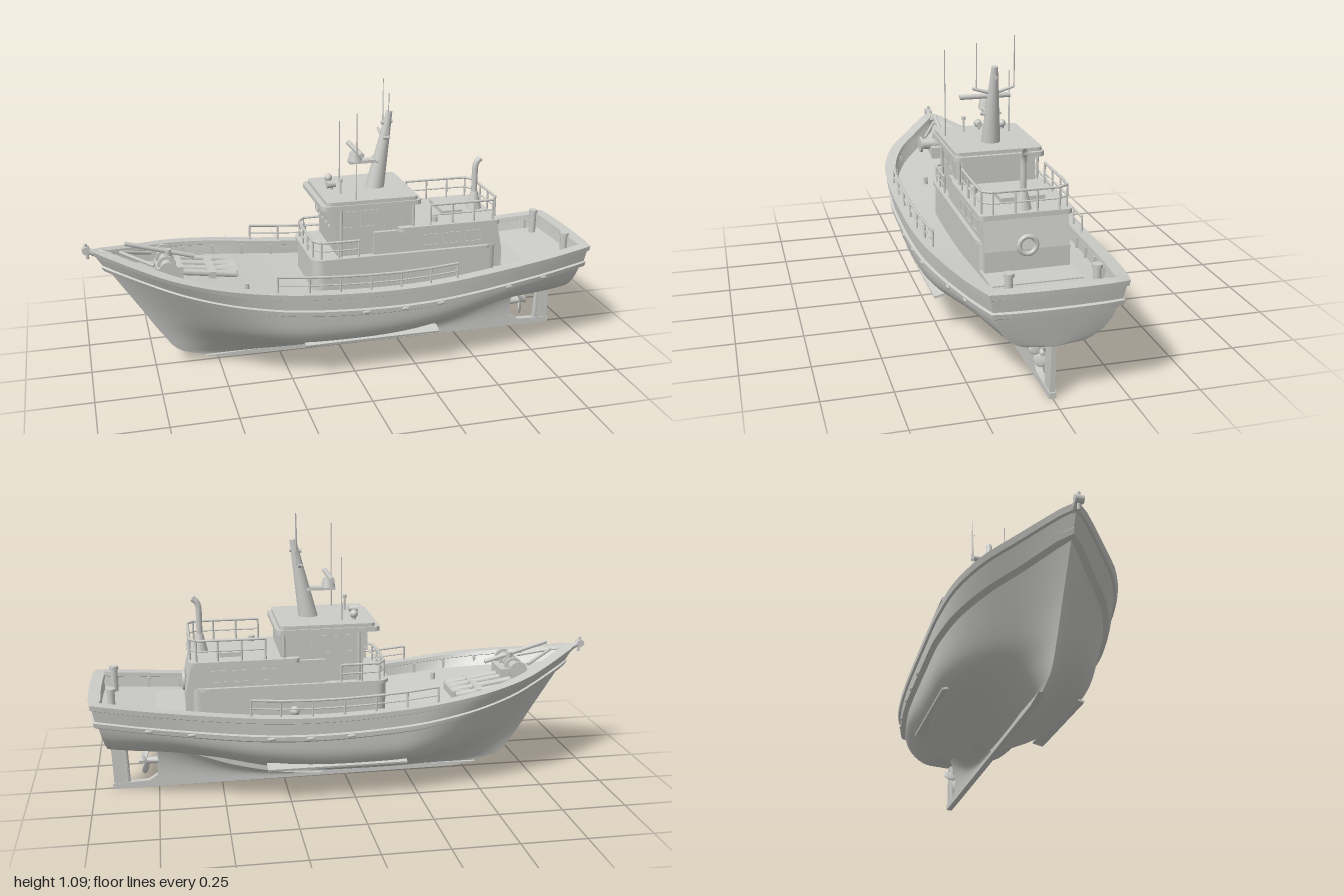
import * as THREE from 'three';
import { toCreasedNormals } from 'three/addons/utils/BufferGeometryUtils.js';

const grey = new THREE.MeshStandardMaterial({ color: 0xcbcbc8, side: THREE.DoubleSide });
grey.name = 'paintedGrey';
const V = (x, y, z) => new THREE.Vector3(x, y, z);

// Smooth interpolation through [x, y] pairs
function smooth(t) {
  const slope = (i) => {
    const a = t[Math.max(i - 1, 0)], b = t[Math.min(i + 1, t.length - 1)];
    return (b[1] - a[1]) / (b[0] - a[0]);
  };
  return (x) => {
    if (x <= t[0][0]) return t[0][1];
    if (x >= t[t.length - 1][0]) return t[t.length - 1][1];
    let i = 0;
    while (x > t[i + 1][0]) i++;
    const h = t[i + 1][0] - t[i][0], s = (x - t[i][0]) / h, s2 = s * s, s3 = s2 * s;
    return (2 * s3 - 3 * s2 + 1) * t[i][1] + (s3 - 2 * s2 + s) * h * slope(i)
      + (3 * s2 - 2 * s3) * t[i + 1][1] + (s3 - s2) * h * slope(i + 1);
  };
}

// Hull lines
const sheer = smooth([[-0.96, 0.505], [-0.74, 0.45], [-0.45, 0.4], [-0.2, 0.37], [0.1, 0.355], [0.35, 0.36], [0.7, 0.39], [0.975, 0.42]]);
const beam = smooth([[-0.96, 0], [-0.9, 0.05], [-0.8, 0.127], [-0.667, 0.22], [-0.51, 0.28], [-0.35, 0.302], [-0.2, 0.308], [0.2, 0.305], [0.5, 0.287], [0.8, 0.255], [0.975, 0.225]]);
const keelY = smooth([[-0.55, 0.02], [0, 0.02], [0.25, 0.03], [0.45, 0.07], [0.6, 0.12], [0.75, 0.165], [0.94, 0.195]]);
const stemX = smooth([[0.02, -0.54], [0.05, -0.645], [0.12, -0.71], [0.25, -0.795], [0.4, -0.893], [0.505, -0.96]]);
const sternX = smooth([[0.19, 0.93], [0.33, 0.96], [0.42, 0.975]]);
const midForm = smooth([[0, 0.02], [0.145, 0.33], [0.23, 0.55], [0.32, 0.76], [0.4, 0.88], [0.52, 0.95], [0.67, 0.975], [1, 1]]);
const sternForm = smooth([[0, 0], [0.03, 0.4], [0.12, 0.62], [0.3, 0.8], [0.55, 0.91], [1, 1]]);
const lerp = THREE.MathUtils.lerp, step = THREE.MathUtils.smoothstep;
const topX = (u) => lerp(-0.96, 0.975, u);
const toU = (x) => (x + 0.96) / 1.935;

function hullAt(u, v) {
  const top = sheer(topX(u)), y = lerp(keelY(lerp(-0.55, 0.94, u)), top, v);
  let f = lerp(Math.pow(v, 0.9), midForm(v), step(u, 0, 0.38));
  f = lerp(f, sternForm(v), step(u, 0.65, 1));
  const rake = lerp(stemX(y) - stemX(top), sternX(y) - sternX(top), u);
  return V(topX(u) + rake, y, beam(topX(u)) * f);
}
// Hull point a given drop below the sheer
function belowSheer(u, dy) {
  const range = sheer(topX(u)) - keelY(lerp(-0.55, 0.94, u));
  return hullAt(u, Math.min(1, 1 + dy / range)).setY(sheer(topX(u)) + dy);
}

function grid(nu, nv, fn, crease) {
  const pos = [], idx = [];
  for (let i = 0; i <= nu; i++) for (let j = 0; j <= nv; j++) pos.push(...fn(i / nu, j / nv).toArray());
  for (let i = 0; i < nu; i++) for (let j = 0; j < nv; j++) {
    const a = i * (nv + 1) + j, b = a + nv + 1;
    idx.push(a, a + 1, b, b, a + 1, b + 1);
  }
  const g = new THREE.BufferGeometry();
  g.setAttribute('position', new THREE.Float32BufferAttribute(pos, 3));
  g.setIndex(idx);
  g.computeVertexNormals();
  return crease ? toCreasedNormals(g, crease) : g;
}

export function createModel() {
  const root = new THREE.Group();
  root.name = 'fishingBoat';
  const add = (name, geo, x = 0, y = 0, z = 0) => {
    const m = new THREE.Mesh(geo, grey);
    m.name = name;
    m.position.set(x, y, z);
    root.add(m);
    return m;
  };
  const box = (name, x0, x1, y0, y1, z0, z1) =>
    add(name, new THREE.BoxGeometry(x1 - x0, y1 - y0, z1 - z0), (x0 + x1) / 2, (y0 + y1) / 2, (z0 + z1) / 2);
  const rod = (name, a, b, r = 0.004, r2 = r, n = 8) => {
    const d = b.clone().sub(a), c = a.clone().add(b).multiplyScalar(0.5);
    const m = add(name, new THREE.CylinderGeometry(r2, r, d.length(), n), c.x, c.y, c.z);
    m.quaternion.setFromUnitVectors(V(0, 1, 0), d.normalize());
  };
  const ball = (name, r, x, y, z) => add(name, new THREE.SphereGeometry(r, 14, 10), x, y, z);
  // Side outline extruded across the boat
  const profile = (name, pts, half) => add(name, new THREE.ExtrudeGeometry(
    new THREE.Shape(pts.map((p) => new THREE.Vector2(...p))), { depth: half * 2, bevelEnabled: false }), 0, 0, -half);
  // Rounded plan slab
  const slab = (name, x0, x1, y0, y1, h, r) => {
    const s = new THREE.Shape();
    [[x1 - r, h - r, 0], [x0 + r, h - r, 1], [x0 + r, r - h, 2], [x1 - r, r - h, 3]]
      .forEach(([x, y, q]) => s.absarc(x, y, r, q * Math.PI / 2, (q + 1) * Math.PI / 2));
    const g = new THREE.ExtrudeGeometry(s, { depth: y1 - y0, bevelEnabled: false, curveSegments: 5 });
    return add(name, g.rotateX(-Math.PI / 2), 0, y0, 0);
  };
  // Posts with a top and a middle rail
  const railing = (name, pts, h) => pts.forEach((p, i) => {
    const up = (q, k) => q.clone().setY(q.y + h * k);
    rod(name + 'Post', p, up(p, 1));
    if (i) [1, 0.5].forEach((k) => rod(name + 'Bar', up(pts[i - 1], k), up(p, k), k === 1 ? 0.005 : 0.003));
  });
  const windowFrame = (name, x, y, z, w, h, turn) => {
    const rect = (P, a, b) => new P([[-a, -b], [a, -b], [a, b], [-a, b]].map((p) => new THREE.Vector2(...p)));
    const s = rect(THREE.Shape, w / 2, h / 2);
    s.holes.push(rect(THREE.Path, w / 2 - 0.006, h / 2 - 0.006));
    add(name, new THREE.ExtrudeGeometry(s, { depth: 0.006, bevelEnabled: false }), x, y, z).rotation.y = turn;
  };

  // Hull shell, transom and deck
  add('hull', grid(60, 48, (u, s) => {
    const t = s * 2 - 1, p = hullAt(u, Math.pow(Math.abs(t), 1.4));
    return p.setZ(p.z * Math.sign(t));
  }, 1));
  add('transom', grid(20, 12, (v, s) => {
    const t = s * 2 - 1, p = hullAt(1, Math.pow(v, 1.8));
    return V(p.x + 0.008 * (1 - t * t), p.y, p.z * t);
  }));
  add('deck', grid(50, 4, (u, s) => {
    const p = belowSheer(0.01 + 0.99 * u, -0.055);
    return p.setZ(p.z * (s * 2 - 1));
  }));

  // Bulwark with cap rail and rubbing strake, swept round the whole hull
  const section = [[0.016, 0.004], [0.016, -0.016], [0.008, -0.02], [0.008, -0.064], [0.018, -0.068], [0.018, -0.086],
    [0, -0.096], [-0.02, -0.08], [-0.02, -0.016], [-0.03, -0.012], [-0.03, 0.004]];
  const NS = 50, NT = 8, loop = NS * 2 + NT;
  const edge = (i, dy) => {
    i = (i + loop) % loop;
    if (i <= NS) return belowSheer(i / NS, dy);
    if (i >= NS + NT) { const p = belowSheer((loop - i) / NS, dy); return p.setZ(-p.z); }
    const t = 1 - 2 * (i - NS) / NT, p = belowSheer(1, dy);
    return V(p.x + 0.008 * (1 - t * t), p.y, p.z * t);
  };
  add('bulwark', grid(loop, section.length, (a, b) => {
    const i = Math.round(a * loop), [out, dy] = section[Math.round(b * section.length) % section.length];
    const p = edge(i, dy), p0 = edge(i - 1, dy), p1 = edge(i + 1, dy);
    const n = V(-(p1.z - p.z), 0, p1.x - p.x).normalize().add(V(-(p.z - p0.z), 0, p.x - p0.x).normalize()).normalize();
    return p.addScaledVector(n, out);
  }, 0.6));

  // Keel with faired deadwood, stern gear and rudder
  profile('keel', [[-0.55, 0.022], [-0.45, 0.008], [0.78, 0], [0.93, 0], [0.93, 0.022], [0.79, 0.028], [0.755, 0.05], [0.75, 0.18], [0.4, 0.1], [0, 0.035]], 0.012);
  [-1, 1].forEach((s) => add('deadwoodFairing', grid(20, 10, (a, t) => {
    const x = 0.1 + 0.65 * a;
    return V(x, lerp(0.012, keelY(x) + 0.018, t), s * (0.012 + 0.06 * (1 - 0.5 * a) * t ** 3));
  })));
  profile('rudder', [[0.865, 0.02], [0.925, 0.02], [0.932, 0.2], [0.875, 0.2]], 0.009);
  rod('rudderStock', V(0.872, 0.01, 0), V(0.88, 0.22, 0), 0.011);
  rod('propellerHub', V(0.74, 0.11, 0), V(0.825, 0.11, 0), 0.016, 0.008, 12);
  for (let k = 0; k < 3; k++) {
    const blade = add('propellerBlade', new THREE.SphereGeometry(1, 12, 8).scale(0.006, 0.027, 0.025).rotateY(0.6).translate(0, 0.031, 0), 0.8, 0.11, 0);
    blade.rotation.x = 0.9 + k * Math.PI * 2 / 3;
  }

  // Bow fitting and anchor roller
  rod('bowSprit', V(-0.9, 0.475, 0), V(-0.985, 0.51, 0), 0.02, 0.011);
  rod('bowRoller', V(-0.985, 0.51, -0.015), V(-0.985, 0.51, 0.015), 0.015, 0.015, 12);
  rod('bowPin', V(-0.98, 0.475, 0), V(-0.985, 0.535, 0), 0.006);

  // Foredeck windlass, boom and stowed gear
  rod('windlassDrum', V(-0.69, 0.435, -0.1), V(-0.69, 0.435, 0.1), 0.024, 0.024, 14);
  [-0.1, -0.035, 0.035, 0.1].forEach((z) => rod('drumFlange', V(-0.69, 0.435, z - 0.005), V(-0.69, 0.435, z + 0.005), 0.036, 0.036, 14));
  box('windlassBase', -0.73, -0.63, 0.37, 0.43, -0.06, 0.06);
  rod('samsonPost', V(-0.68, 0.38, 0), V(-0.68, 0.485, 0), 0.014, 0.014, 12);
  rod('anchorStock', V(-0.84, 0.523, 0), V(-0.58, 0.448, 0), 0.009);
  [-1, 1].forEach((s) => rod('anchorArm', V(-0.86, 0.49, 0), V(-0.74, 0.45, s * 0.07), 0.007));
  [-0.15, -0.09, -0.035, 0.01].forEach((z) => rod('stowedGear', V(-0.66, 0.395, z), V(-0.42, 0.36, z), 0.014));
  box('gearRack', -0.53, -0.5, 0.33, 0.385, -0.17, 0.03);
  box('gearCrate', -0.49, -0.41, 0.33, 0.37, -0.13, 0.0);
  rod('deckPost', V(-0.4, 0.33, 0.14), V(-0.4, 0.37, 0.14), 0.009);
  rod('deckVent', V(0.23, 0.3, -0.23), V(0.23, 0.36, -0.23), 0.012);
  ball('ventCap', 0.019, 0.23, 0.36, -0.23);

  // Deckhouse
  slab('houseTrunk', -0.14, 0.62, 0.29, 0.44, 0.163, 0.04);
  slab('trunkLip', -0.15, 0.6, 0.432, 0.444, 0.17, 0.045);
  box('aftHatch', 0.6, 0.75, 0.3, 0.345, -0.165, 0.165);
  profile('aftCabin', [[0.1, 0.43], [0.635, 0.3], [0.635, 0.42], [0.61, 0.535], [0.1, 0.535]], 0.155);
  slab('cabinRoof', 0.2, 0.62, 0.53, 0.548, 0.17, 0.02);
  profile('wheelhouse', [[-0.04, 0.43], [0.27, 0.43], [0.27, 0.65], [-0.062, 0.65]], 0.14);
  slab('wheelhouseRoof', -0.11, 0.29, 0.642, 0.66, 0.174, 0.025);
  slab('roofCrown', -0.09, 0.275, 0.66, 0.674, 0.168, 0.02);
  [-1, 1].forEach((s) => {
    [0.0, 0.085].forEach((x) => windowFrame('wheelhouseWindow', x, 0.59, s * 0.14 - 0.003, 0.07, 0.07, 0));
    windowFrame('wheelhouseDoor', 0.185, 0.545, s * 0.14 - 0.003, 0.075, 0.18, 0);
    [0.33, 0.42, 0.51].forEach((x) => windowFrame('cabinWindow', x, 0.485, s * 0.155 - 0.003, 0.075, 0.05, 0));
    [-0.03, 0.26].forEach((x) => rod('roofPost', V(x, 0.44, s * 0.148), V(x, 0.65, s * 0.152), 0.006));
  });
  [-0.1, -0.05, 0, 0.05, 0.1].forEach((z) => windowFrame('frontWindow', -0.062, 0.59, z, 0.046, 0.07, -Math.PI / 2));
  add('lifebuoy', new THREE.TorusGeometry(0.032, 0.009, 10, 24).rotateY(Math.PI / 2), 0.636, 0.435, 0);

  // Railings on the trunk, cabin roof and bulwark
  railing('frontRail', [[0.04, 0.158], [-0.04, 0.158], [-0.11, 0.155], [-0.135, 0.12], [-0.138, 0.04], [-0.138, -0.04], [-0.135, -0.12], [-0.11, -0.155], [-0.04, -0.158], [0.04, -0.158]]
    .map(([x, z]) => V(x, 0.44, z)), 0.07);
  railing('roofRail', [[0.33, 0.158], [0.42, 0.158], [0.51, 0.158], [0.59, 0.155], [0.613, 0.12], [0.613, 0.04], [0.613, -0.04], [0.613, -0.12], [0.59, -0.155], [0.51, -0.158], [0.42, -0.158], [0.33, -0.158]]
    .map(([x, z]) => V(x, 0.547, z)), 0.082);
  [-1, 1].forEach((s) => {
    railing('sideRail', [-0.31, -0.19, -0.07, 0.05, 0.17, 0.29, 0.4].map((x) => {
      const p = belowSheer(toU(x), 0);
      return p.setZ(s * (p.z - 0.01));
    }), 0.065);
    // Bulwark stays
    for (let x = -0.6; x < 0.95; x += 0.125) {
      const p = belowSheer(toU(x), -0.035);
      box('bulwarkStay', x - 0.005, x + 0.005, p.y - 0.022, p.y + 0.022, s * (p.z - 0.023) - 0.008, s * (p.z - 0.023) + 0.008);
    }
    // Freeing ports, bilge keels and mooring posts
    [0.01, 0.17, 0.32, 0.62, 0.78].forEach((x) => {
      const p = belowSheer(toU(x), -0.077);
      add('freeingPort', new THREE.SphereGeometry(1, 12, 8).scale(0.018, 0.007, 0.006), p.x, p.y, s * (p.z + 0.017));
    });
    box('bilgeKeel', -0.2, 0.34, 0.141, 0.149, s * 0.247 - 0.023, s * 0.247 + 0.023).rotation.x = s * 0.25;
    rod('mooringPost', V(0.91, 0.35, s * 0.15), V(0.91, 0.455, s * 0.15), 0.014, 0.014, 12);
    rod('mooringPostCap', V(0.91, 0.447, s * 0.15), V(0.91, 0.46, s * 0.15), 0.018, 0.018, 12);
  });

  // Cabin roof hatch and exhaust stack
  box('roofHatch', 0.415, 0.5, 0.545, 0.565, -0.105, 0.06);
  rod('exhaustBase', V(0.57, 0.545, 0), V(0.57, 0.62, 0), 0.032, 0.014, 14);
  add('exhaustPipe', new THREE.TubeGeometry(new THREE.CatmullRomCurve3(
    [V(0.57, 0.6, 0), V(0.57, 0.68, 0), V(0.571, 0.725, 0), V(0.578, 0.745, 0), V(0.592, 0.757, 0)]), 16, 0.012, 10));
  rod('roofVent', V(0.36, 0.54, 0.12), V(0.36, 0.57, 0.12), 0.012);

  // Mast, crossarm and radar
  rod('mast', V(0.145, 0.665, 0), V(0.203, 0.975, 0), 0.038, 0.012, 16);
  [-1, 1].forEach((s) => {
    rod('crossarm', V(0.18, 0.868, 0), V(0.18, 0.89, s * 0.08), 0.008, 0.005);
    rod('mastLamp', V(0.15, 0.775, 0), V(0.15, 0.785, s * 0.04), 0.006);
  });
  box('radarBracket', 0.04, 0.17, 0.775, 0.787, -0.018, 0.018);
  rod('radarPedestal', V(0.065, 0.785, 0), V(0.065, 0.82, 0), 0.028, 0.02, 14);
  rod('radarScanner', V(0.065, 0.831, -0.1), V(0.065, 0.831, 0.1), 0.01, 0.01, 10);
  rod('rearBracket', V(0.17, 0.93, 0), V(0.215, 0.935, 0), 0.008);

  // Whip aerials
  [[0.18, 0.89, 0.064, 1.06], [0.2, 0.89, -0.075, 1.088], [0.03, 0.66, 0.15, 1.01], [0.03, 0.66, -0.106, 0.92]]
    .forEach(([x, y0, z, y1]) => rod('aerial', V(x, y0, z), V(x, y1, z), 0.003, 0.0015, 6));

  // Wheelhouse roof fittings
  rod('domeStand', V(-0.02, 0.67, -0.092), V(-0.02, 0.69, -0.092), 0.009);
  ball('satelliteDome', 0.016, -0.02, 0.695, -0.092);
  rod('hornStand', V(-0.01, 0.67, 0.066), V(-0.01, 0.73, 0.066), 0.004);
  rod('hornCap', V(-0.01, 0.722, 0.066), V(-0.01, 0.735, 0.066), 0.008);
  rod('searchlight', V(-0.05, 0.695, 0), V(-0.015, 0.695, 0), 0.016, 0.012, 12);
  rod('searchlightStand', V(-0.03, 0.67, 0), V(-0.03, 0.69, 0), 0.006);
  return root;
}
